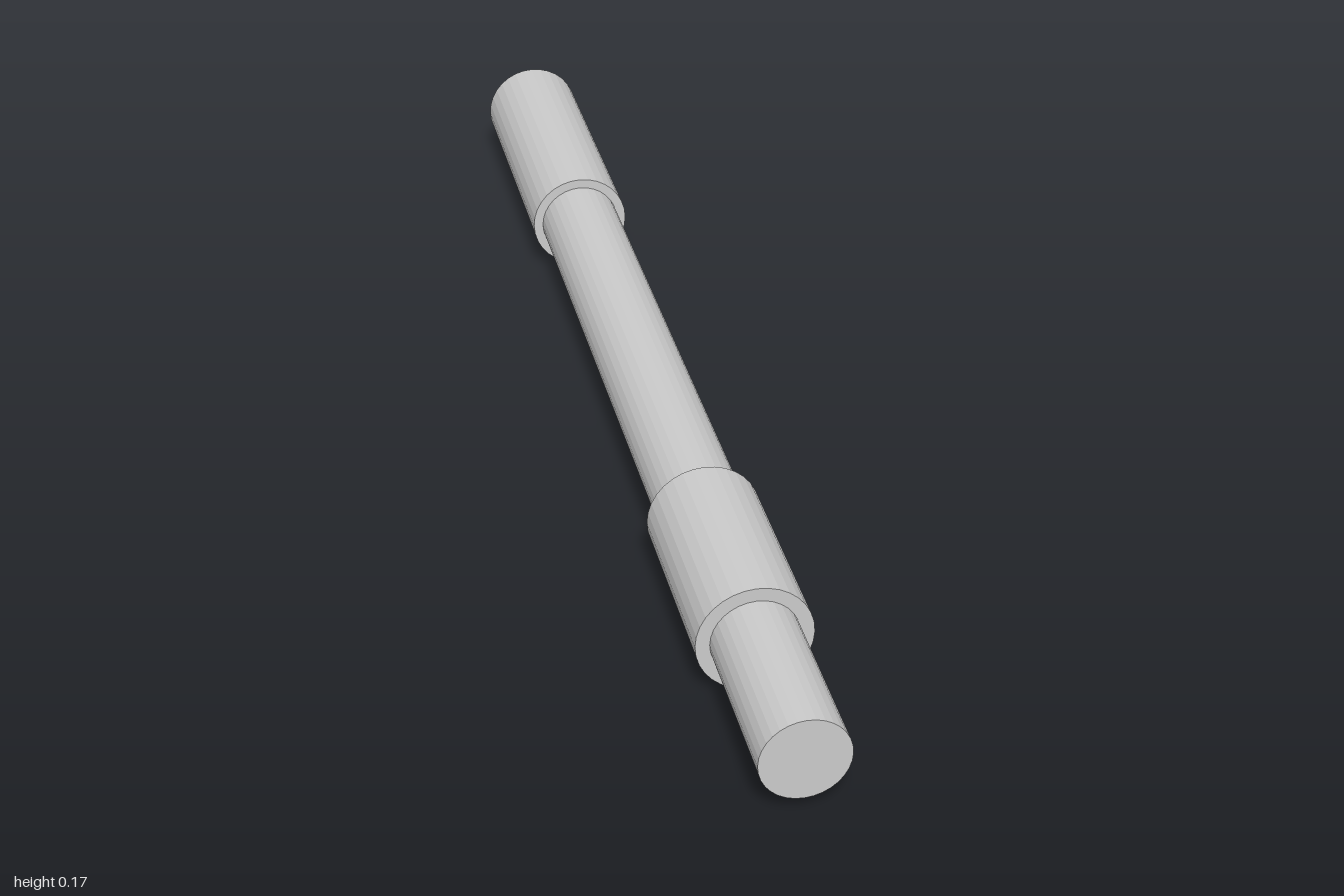
import * as THREE from 'three';

const AXIS_Y = 0.086; // height of the common axis

export function createModel() {
  const model = new THREE.Group();
  model.name = 'steppedRod';
  const material = new THREE.MeshStandardMaterial({ color: 0xcccccc, flatShading: true });

  // Solid round section lying along z between two stations
  const addSection = (name, radius, zBack, zFront) => {
    const geometry = new THREE.CylinderGeometry(radius, radius, zFront - zBack, 32);
    geometry.rotateX(Math.PI / 2);
    const mesh = new THREE.Mesh(geometry, material);
    mesh.name = name;
    mesh.position.set(0, AXIS_Y, (zFront + zBack) / 2);
    model.add(mesh);
  };

  addSection('rearGrip', 0.083, -1, -0.525);
  addSection('shaft', 0.067, -0.525, 0.425);
  addSection('frontCollar', 0.086, 0.425, 0.735);
  addSection('frontTip', 0.065, 0.735, 1);

  return model;
}
